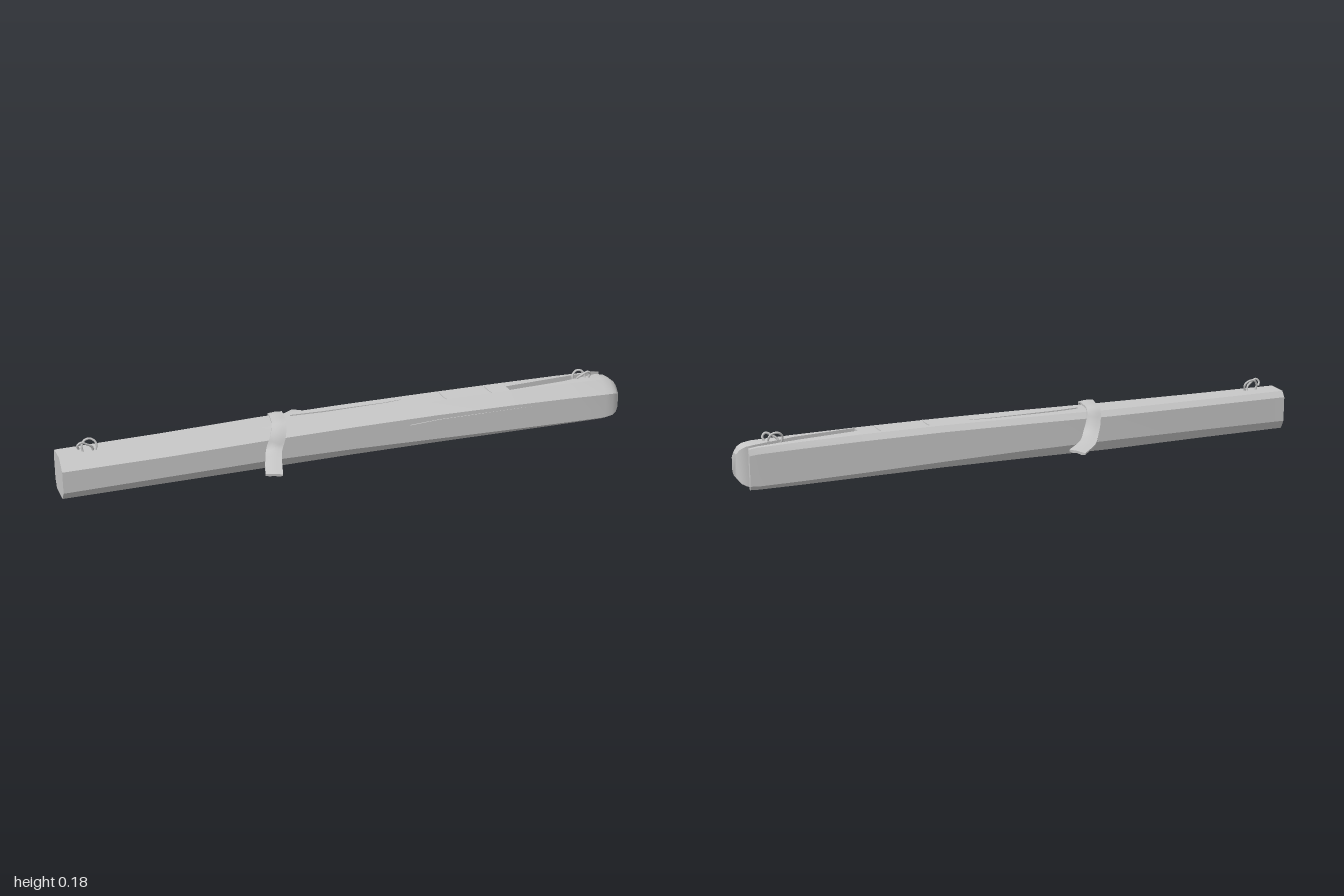
import * as THREE from 'three';
import { toCreasedNormals } from 'three/addons/utils/BufferGeometryUtils.js';

const V = (x, y, z) => new THREE.Vector3(x, y, z);

// Skin a list of closed rings (counter-clockwise about the path) and cap both ends
function loft(rings, crease) {
  const n = rings[0].length, pos = rings.flat().flatMap(p => [p.x, p.y, p.z]), idx = [];
  for (let r = 0; r < rings.length - 1; r++) {
    for (let i = 0; i < n; i++) {
      const a = r * n + i, b = r * n + (i + 1) % n;
      idx.push(a, b, b + n, a, b + n, a + n);
    }
  }
  const e = (rings.length - 1) * n;
  for (let i = 1; i < n - 1; i++) idx.push(0, i + 1, i, e, e + i, e + i + 1);
  const g = new THREE.BufferGeometry();
  g.setAttribute('position', new THREE.Float32BufferAttribute(pos, 3));
  g.setIndex(idx);
  return toCreasedNormals(g, crease);
}

// Beam stations: x, top, upper front crease, lower crease, bottom, back z, front z
const stations = [
  [-1, 0.14, 0.105, 0.03, 0, -0.055, 0.075],
  [-0.65, 0.143, 0.107, 0.035, 0.002, -0.06, 0.075],
  [-0.3, 0.148, 0.114, 0.04, 0.004, -0.07, 0.075],
  [0, 0.153, 0.118, 0.038, 0.007, -0.065, 0.077],
  [0.3, 0.156, 0.12, 0.032, 0.008, -0.058, 0.08],
  [0.59, 0.156, 0.117, 0.026, 0.007, -0.055, 0.082],
  [0.8, 0.154, 0.113, 0.023, 0.007, -0.053, 0.084],
  [0.94, 0.151, 0.109, 0.022, 0.008, -0.05, 0.086],
];

// Half sections, split at the plane z = c
const frontHalf = ([x, t, u, l, b, , f], c) => [
  V(x, t, c), V(x, t, f - 0.04), V(x, u, f), V(x, l, f), V(x, b, f - 0.025), V(x, b, c)];
const backHalf = ([x, t, , l, b, k], c, run = 0.015) => [
  V(x, b, c), V(x, b, k + run), V(x, l, k), V(x, t - 0.022, k), V(x, t - 0.002, k + run), V(x, t, c)];

export function createModel() {
  const group = new THREE.Group();
  const wood = new THREE.MeshStandardMaterial({ color: 0xc8c8c8 });
  wood.name = 'pale grey';
  const add = (name, geo, parent = group) => {
    const m = new THREE.Mesh(geo, wood);
    m.name = name;
    parent.add(m);
    return m;
  };

  // Solid part of the beam
  const full = stations.slice(0, 6).map(s => {
    const fr = frontHalf(s, 0), bk = backHalf(s, 0);
    return [...fr.slice(1, 5), ...bk.slice(1, 5)];
  });
  add('beam', loft(full, 0.35));

  // Two prongs with an open wedge between them
  const [s0, s1, s2] = stations.slice(5);
  const tip = (s, x, shrink) => {
    const ring = frontHalf([x, ...s.slice(1)], -0.01);
    return ring.map(p => V(x, 0.079 + (p.y - 0.079) * shrink, 0.036 + (p.z - 0.036) * shrink));
  };
  add('frontProng', loft([
    frontHalf(s0, 0.035), frontHalf(s1, 0.02), frontHalf(s2, -0.01),
    tip(s2, 0.97, 0.94), tip(s2, 0.988, 0.8), tip(s2, 1, 0.56),
  ], 0.6));
  const backTip = [0.97, 0.148, 0.108, 0.024, 0.01, -0.049, 0.086];
  add('backProng', loft([
    backHalf(s0, 0), backHalf(s1, -0.018, 0.013), backHalf(s2, -0.031, 0.01), backHalf(backTip, -0.035, 0.008),
  ], 0.35));

  // Ribbon draped over the beam
  const path = new THREE.CatmullRomCurve3([
    V(-0.338, 0.064, 0.238), V(-0.315, 0.078, 0.16), V(-0.293, 0.093, 0.1), V(-0.275, 0.125, 0.083),
    V(-0.26, 0.155, 0.05), V(-0.25, 0.158, 0), V(-0.243, 0.154, -0.05), V(-0.232, 0.118, -0.076),
    V(-0.21, 0.09, -0.105), V(-0.165, 0.075, -0.175), V(-0.098, 0.066, -0.236),
  ]);
  const steps = 36, rings = [];
  for (let i = 0; i <= steps; i++) {
    const u = i / steps, p = path.getPointAt(u), t = path.getTangentAt(u);
    const w = V(1, 0, 0).addScaledVector(t, -t.x).normalize();
    const n = t.clone().cross(w);
    if (n.y > 0 && i === 0) n.normalize();
    const half = 0.024 + 0.01 * Math.abs(u - 0.5);
    const at = (a, b) => p.clone().addScaledVector(w, a * half).addScaledVector(n, b);
    // Slightly fluted band section
    rings.push([at(1, -0.003), at(1, 0.003), at(0.5, 0.006), at(0, 0.003), at(-0.5, 0.006),
      at(-1, 0.003), at(-1, -0.003), at(-0.5, -0.004), at(0, -0.005), at(0.5, -0.004)]);
  }
  add('ribbon', loft(rings, 0.7));

  // Small cord loops near both ends
  for (const [x, y, side] of [[-0.895, 0.158, 1], [0.868, 0.16, -1]]) {
    const loop = new THREE.Group();
    loop.name = side > 0 ? 'rightCordLoop' : 'leftCordLoop';
    const cord = pts => new THREE.TubeGeometry(
      new THREE.CatmullRomCurve3(pts.map(([a, b, c]) => V(a * side, b, c))), 28, 0.004, 6);
    add('loop', cord([[-0.02, -0.025, 0], [-0.024, 0, -0.004], [-0.012, 0.017, -0.009], [0.008, 0.019, -0.01],
      [0.024, 0.004, -0.004], [0.02, -0.022, 0.002]]), loop);
    add('tail', cord([[0.012, -0.02, 0], [0.008, -0.004, 0.004], [-0.008, 0.008, 0.008], [-0.028, 0.018, 0.011],
      [-0.04, 0.008, 0.008], [-0.036, -0.006, 0.003]]), loop);
    loop.position.set(x, y, 0.01);
    group.add(loop);
  }

  // Thin slivers marking the cracks in the wood
  const sliver = (name, length, width, x, y, z) => {
    const s = new THREE.Shape([[-0.5, 0], [-0.2, -0.5], [0.35, -0.5], [0.5, 0], [0.3, 0.5], [-0.3, 0.5]]
      .map(([a, b]) => new THREE.Vector2(a * length, b * width)));
    const m = add(name, new THREE.ExtrudeGeometry(s, { depth: 0.004, bevelEnabled: false }));
    m.position.set(x, y, z);
    return m;
  };
  sliver('frontCrack', 0.53, 0.012, 0.465, 0.098, 0.079);
  sliver('topCrack', 0.4, 0.012, 0, 0.151, -0.015).rotation.x = -Math.PI / 2;
  for (const x of [0.35, 0.52]) {
    sliver('crossCut', 0.07, 0.008, x, 0.1545, 0.005).rotation.set(-Math.PI / 2, 0, Math.PI / 2);
  }
  return group;
}
